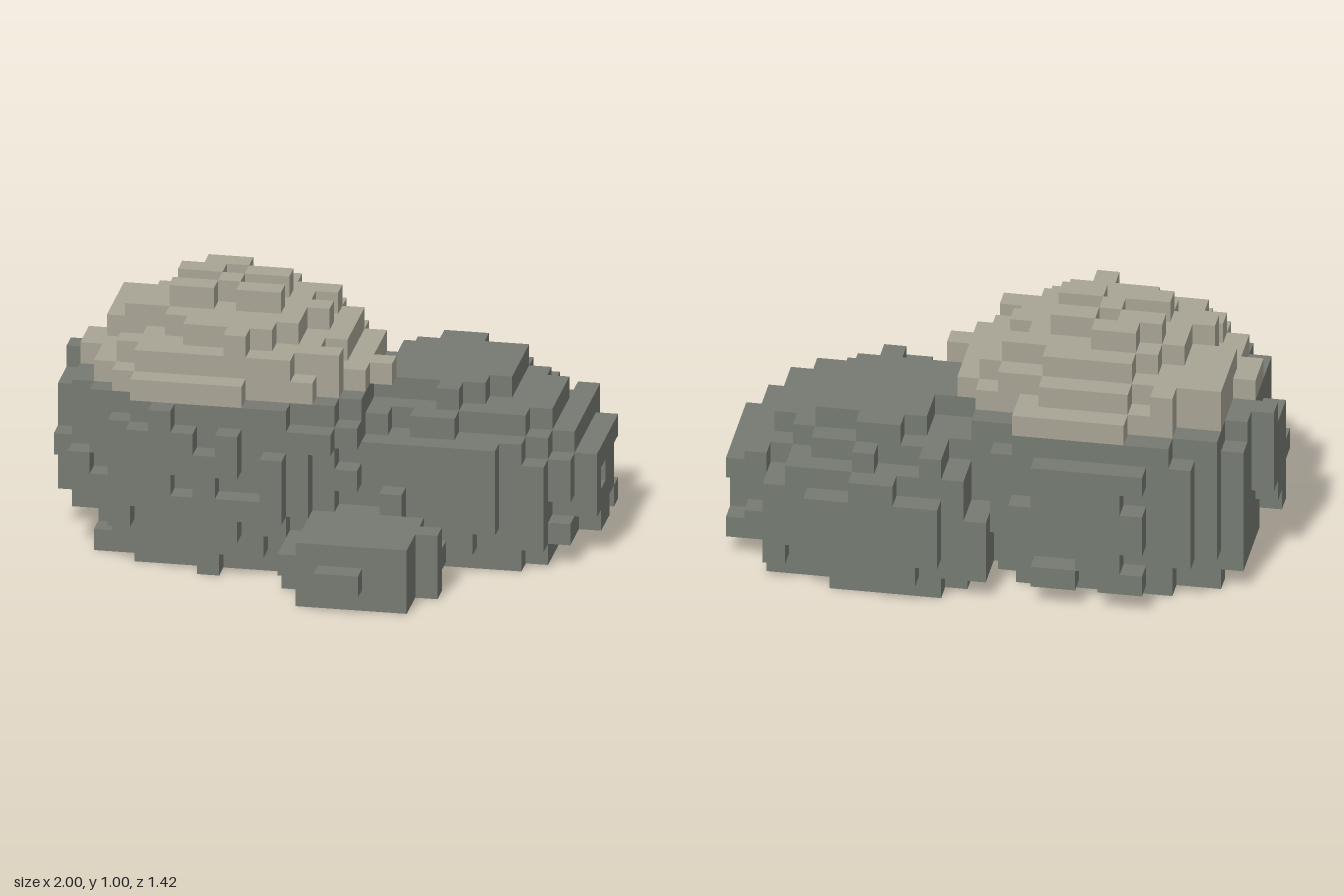
import * as THREE from 'three';

const NX = 24, NY = 12, NZ = 17, S = 1 / 12, CAP = 8;

// Boulders in grid cells: centre, radii
const ROCKS = [
  { name: 'largeBoulder', c: [7.6, 4.9, 7.4], r: [7.6, 6.75, 6.55] },
  { name: 'sideBoulder', c: [17.3, 3.2, 5.6], r: [6.9, 4.85, 5.75] },
  { name: 'smallBoulder', c: [14.5, 1.4, 13.5], r: [3.6, 1.85, 3.5] },
];

// Width of every layer in x and z (start, end)
const LAYER_X = [[2, 22], [1, 24], [0, 24], [0, 24], [0, 24], [0, 23], [0, 22], [0, 20], [1, 15], [2, 14], [3, 12], [5, 10]];
const LAYER_Z = [[1, 16], [0, 17], [0, 16], [0, 14], [0, 14], [0, 14], [1, 14], [2, 14], [2, 13], [3, 13], [4, 12], [5, 10]];
// Width of every z row, for the whole pile and for the pale cap
const ROW_X = [[14, 20], [5, 23], [3, 23], [2, 24], [1, 24], [0, 24], [0, 24], [0, 24], [0, 23],
  [0, 22], [1, 20], [1, 17], [2, 18], [3, 18], [11, 17], [12, 17], [13, 15]];
const CAP_X = [[0, 0], [0, 0], [6, 11], [4, 12], [2, 13], [2, 15], [2, 15], [1, 15], [1, 15],
  [2, 15], [2, 14], [3, 13], [4, 12], [0, 0], [0, 0], [0, 0], [0, 0]];

const inside = (v, [a, b]) => v >= a && v < b;

// Repeatable roughness from -0.5 to 0.5
function hash(a, b, c) {
  let h = Math.imul(a + 11, 374761393) ^ Math.imul(b + 7, 668265263) ^ Math.imul(c + 3, 1274126177);
  h = Math.imul(h ^ (h >>> 13), 1103515245);
  return ((h ^ (h >>> 16)) >>> 0) / 4294967296 - 0.5;
}

// Index of the boulder that owns a cell, or -1 when it is empty
function owner(i, j, k) {
  if (j < 0 || j >= NY || k < 0 || k >= NZ) return -1;
  if (!inside(i, LAYER_X[j]) || !inside(k, LAYER_Z[j])) return -1;
  if (!inside(i, j < CAP ? ROW_X[k] : CAP_X[k])) return -1;
  const rough = 0.1 * hash(i >> 1, j >> 1, k >> 1) + 0.13 * hash(i, j + 40, k);
  return ROCKS.findIndex(({ c, r }) => {
    const d = Math.hypot((i + 0.5 - c[0]) / r[0], (j + 0.5 - c[1]) / r[1], (k + 0.5 - c[2]) / r[2]);
    return d < 1 + rough;
  });
}

// Adds one square face of a cell on the given axis and side
function addFace(out, cell, axis, side) {
  const u = (axis + 1) % 3, v = (axis + 2) % 3;
  const corners = [[0, 0], [1, 0], [1, 1], [0, 1]].map(([a, b]) => {
    const p = [...cell];
    p[axis] += side > 0 ? 1 : 0;
    p[u] += a;
    p[v] += b;
    return [(p[0] - NX / 2) * S, p[1] * S, (p[2] - NZ / 2) * S];
  });
  const order = side > 0 ? [0, 1, 2, 0, 2, 3] : [0, 2, 1, 0, 3, 2];
  order.forEach((n) => out.push(...corners[n]));
}

export function createModel() {
  const group = new THREE.Group();
  group.name = 'boulders';
  const darkStone = new THREE.MeshStandardMaterial({ color: 0x757a71 });
  darkStone.name = 'darkStone';
  const paleStone = new THREE.MeshStandardMaterial({ color: 0xa8a495 });
  paleStone.name = 'paleStone';

  const parts = [...ROCKS.map((r) => ({ name: r.name, mat: darkStone, pos: [] })),
    { name: 'paleCap', mat: paleStone, pos: [] }];

  // Only faces that touch open air are built
  for (let i = 0; i < NX; i++) for (let j = 0; j < NY; j++) for (let k = 0; k < NZ; k++) {
    const rock = owner(i, j, k);
    if (rock < 0) continue;
    const part = parts[j >= CAP ? ROCKS.length : rock];
    for (let axis = 0; axis < 3; axis++) for (const side of [-1, 1]) {
      const n = [i, j, k];
      n[axis] += side;
      if (owner(...n) < 0) addFace(part.pos, [i, j, k], axis, side);
    }
  }

  for (const { name, mat, pos } of parts) {
    const geo = new THREE.BufferGeometry();
    geo.setAttribute('position', new THREE.Float32BufferAttribute(pos, 3));
    geo.computeVertexNormals();
    const mesh = new THREE.Mesh(geo, mat);
    mesh.name = name;
    group.add(mesh);
  }
  return group;
}
